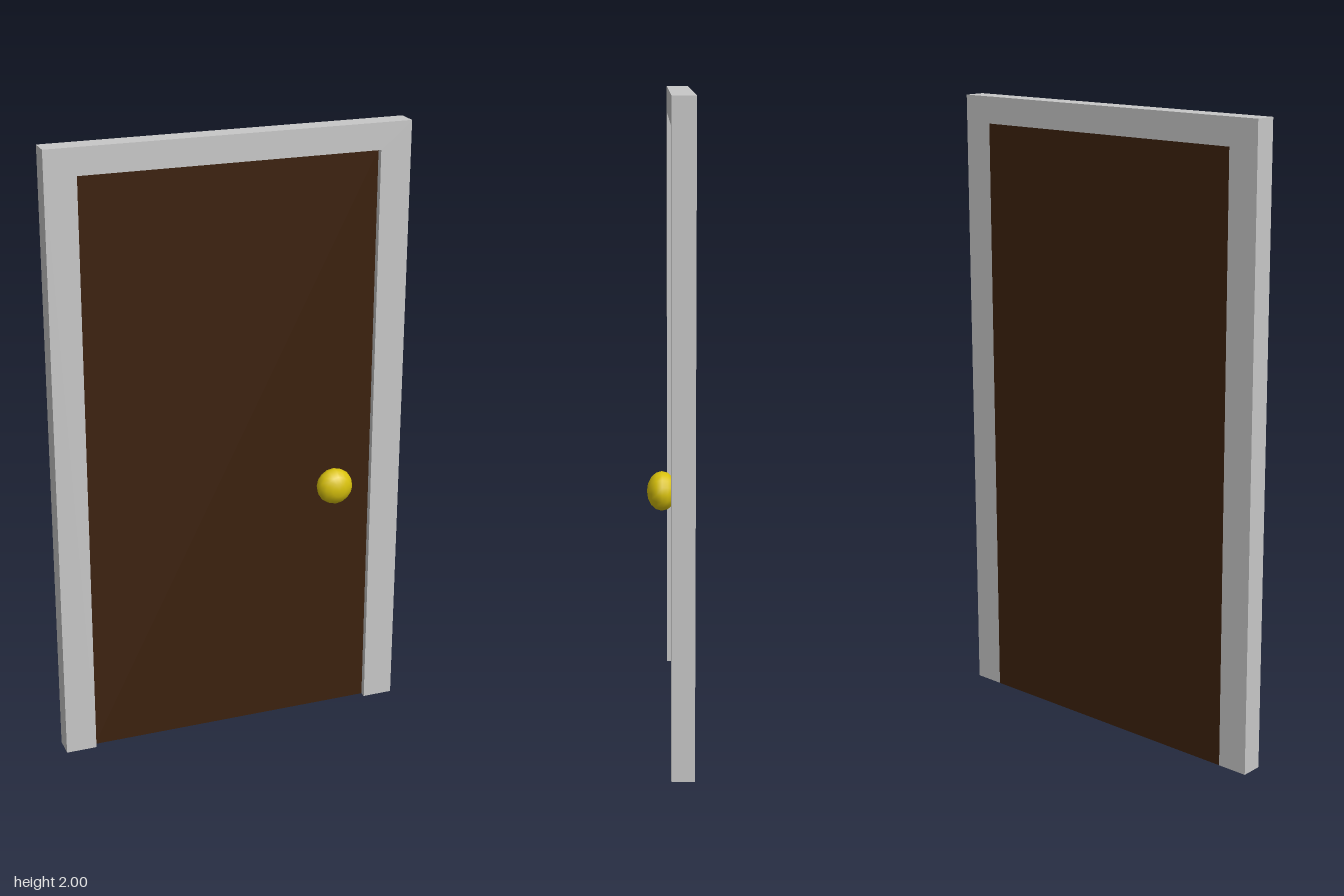
import * as THREE from 'three';

export function createModel() {
  const model = new THREE.Group();
  model.name = 'door';

  const material = (name, color) => {
    const m = new THREE.MeshStandardMaterial({ color });
    m.name = name;
    return m;
  };
  const grey = material('frame grey', 0xc8c8c8);
  const brown = material('door brown', 0x3c210d);
  const gold = material('knob gold', 0xd9c20c);

  const add = (name, geometry, mat, x, y, z) => {
    const mesh = new THREE.Mesh(geometry, mat);
    mesh.name = name;
    mesh.position.set(x, y, z);
    model.add(mesh);
    return mesh;
  };

  const W = 0.58, H = 2, innerW = 0.48, innerH = 1.915;
  const back = -0.07, panelDepth = 0.05;

  // Door frame: one U-shaped outline, open at the floor
  const outline = new THREE.Shape([
    [-W, 0], [-innerW, 0], [-innerW, innerH], [innerW, innerH],
    [innerW, 0], [W, 0], [W, H], [-W, H],
  ].map(([x, y]) => new THREE.Vector2(x, y)));
  add('frame', new THREE.ExtrudeGeometry(outline, { depth: -back, bevelEnabled: false }),
    grey, 0, 0, back);

  // Door panel: flush at the back, recessed at the front
  add('doorPanel', new THREE.BoxGeometry(innerW * 2, innerH, panelDepth),
    brown, 0, innerH / 2, back + panelDepth / 2);

  // Flattened knob with its pole facing forward
  const knob = new THREE.SphereGeometry(0.06, 16, 8);
  knob.rotateX(Math.PI / 2);
  knob.scale(1, 1, 0.75);
  add('knob', knob, gold, 0.34, 0.827, 0.025);

  return model;
}
